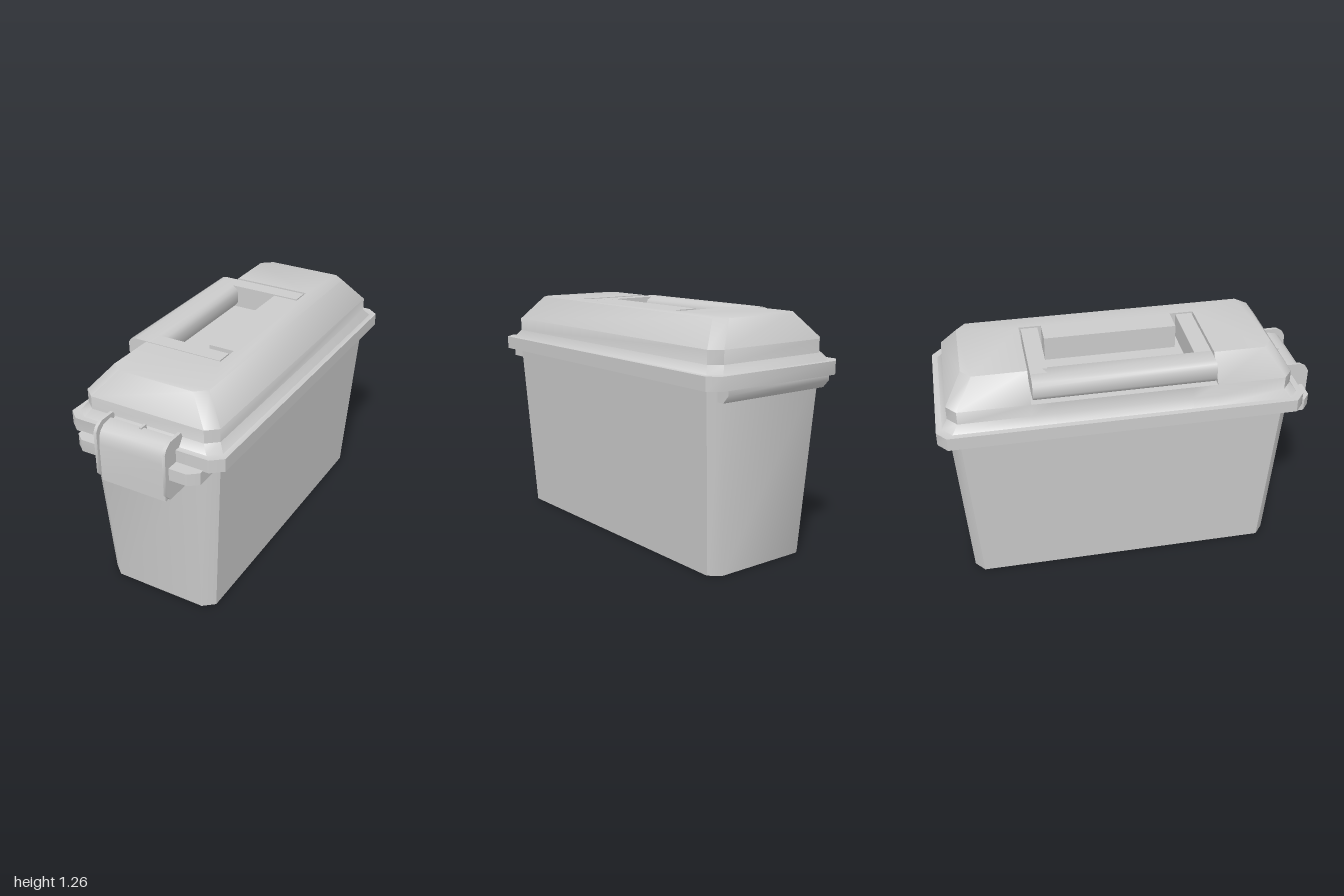
import * as THREE from 'three';
import { toCreasedNormals } from 'three/addons/utils/BufferGeometryUtils.js';

const CREASE = THREE.MathUtils.degToRad(44);
const material = new THREE.MeshStandardMaterial({ color: 0xcccccc });

function part(name, geometry, crease = CREASE) {
  const mesh = new THREE.Mesh(toCreasedNormals(geometry, crease), material);
  mesh.name = name;
  return mesh;
}

// Handle recess outline in plan, opening towards -x
const RECESS = [[-1, -0.52], [0.17, -0.52], [0.17, -0.4], [0.03, -0.4],
  [0.03, 0.31], [0.17, 0.31], [0.17, 0.44], [-1, 0.44]];

// Horizontal ring: rectangle with cut corners, optionally notched on its -x side
function ring(y, X, back, front, notch) {
  const e = 0.06, c = 0.05;
  const middle = notch === undefined ? []
    : RECESS.map(([x, z]) => [notch ? Math.max(x, -X) : -X, z]);
  return [[X, front - c], [X, back + c], [X - e, back], [-X + e, back], [-X, back + c],
    ...middle, [-X, front - c], [-X + e, front], [X - e, front]]
    .map(([x, z]) => new THREE.Vector3(x, y, z));
}

// Skin between rings listed from bottom to top, with end caps
function loft(rings, capBottom, capTop) {
  const points = [];
  const triangle = new THREE.Triangle();
  const face = (a, b, c) => {
    if (triangle.set(a, b, c).getArea() > 1e-8) points.push(a, b, c);
  };
  for (let k = 0; k < rings.length - 1; k++) {
    const a = rings[k], b = rings[k + 1], n = a.length;
    for (let i = 0; i < n; i++) {
      const j = (i + 1) % n;
      face(a[i], a[j], b[j]);
      face(a[i], b[j], b[i]);
    }
  }
  const cap = (r, up) => {
    const flat = r.map(p => new THREE.Vector2(p.x, -p.z));
    for (const [a, b, c] of THREE.ShapeUtils.triangulateShape(flat, [])) {
      if (up) face(r[a], r[b], r[c]);
      else face(r[a], r[c], r[b]);
    }
  };
  if (capBottom) cap(rings[0], false);
  if (capTop) cap(rings[rings.length - 1], true);
  return new THREE.BufferGeometry().setFromPoints(points);
}

function extrude(points, depth) {
  const shape = new THREE.Shape(points.map(p => new THREE.Vector2(...p)));
  return new THREE.ExtrudeGeometry(shape, { depth, bevelEnabled: false });
}

// Profile given as (z, y), extruded across x and centred on cx
function acrossX(points, width, cx = 0) {
  return extrude(points, width).rotateY(-Math.PI / 2).translate(cx + width / 2, 0, 0);
}

function createBody() {
  return part('body', loft([
    ring(0, 0.32, -0.89, 0.81),
    ring(0.96, 0.38, -0.94, 0.85),
  ], true, false));
}

// Lid with overhanging rim and the recess for the handle
function createLid() {
  const at = (y, o, notch = false) => ring(y, 0.38 + o, -0.94 - o, 0.85 + o, notch);
  return part('lid', loft([
    at(0.95, -0.01), at(0.95, 0.06), at(1.02, 0.06), at(1.02, 0.03),
    at(1.06, 0), at(1.13, 0), at(1.13, 0, true),
    ring(1.26, 0.27, -0.85, 0.76, true),
  ], false, true));
}

function createHandle() {
  const handle = new THREE.Group();
  handle.name = 'handle';
  const grip = [[-0.35, 1.14], [-0.23, 1.14], [-0.217, 1.16], [-0.215, 1.215], [-0.225, 1.24],
    [-0.25, 1.257], [-0.34, 1.257], [-0.37, 1.25], [-0.385, 1.23], [-0.385, 1.175], [-0.37, 1.15]];
  handle.add(part('handleGrip', extrude(grip, 0.94).translate(0, 0, -0.51)));
  for (const z of [-0.465, 0.385]) {
    const arm = new THREE.BoxGeometry(0.46, 0.125, 0.09).translate(-0.07, 1.1945, z);
    handle.add(part('handleArm', arm));
  }
  return handle;
}

function createLatch() {
  const latch = new THREE.Group();
  latch.name = 'latch';
  // Curved cover plate
  const cover = [[0.965, 0.765], [0.985, 0.765], [0.985, 0.97], [0.98, 1.01], [0.965, 1.04],
    [0.94, 1.06], [0.9, 1.067], [0.88, 1.067], [0.88, 1.045], [0.93, 1.04], [0.955, 1.01], [0.965, 0.97]];
  latch.add(part('latchCover', acrossX(cover, 0.37)));
  // Side cheeks hooked over the rim
  const cheek = [[0.83, 0.775], [0.97, 0.775], [1, 0.81], [1, 1.04], [0.985, 1.065],
    [0.95, 1.087], [0.86, 1.087], [0.85, 1.07], [0.85, 1]];
  for (const side of [-1, 1]) {
    latch.add(part('latchCheek', acrossX(cheek, 0.017, side * 0.1935)));
  }
  const rib = [[0.85, 1.01], [0.9, 1.01], [0.9, 1.075], [0.86, 1.075]];
  latch.add(part('latchRib', acrossX(rib, 0.014)));
  return latch;
}

export function createModel() {
  const model = new THREE.Group();
  model.name = 'storageBox';
  model.add(createBody(), createLid(), createHandle(), createLatch());

  // Ledge under the rim that carries the latch
  const ledge = [[-0.35, 0.82], [0.35, 0.82], [0.35, 0.935], [0.3, 0.975], [-0.3, 0.975], [-0.35, 0.935]];
  model.add(part('latchLedge', extrude(ledge, 0.065).rotateX(Math.PI / 2).translate(0, 0.955, 0)));

  // Hinge bar under the back rim
  const hinge = [[-0.92, 0.955], [-0.995, 0.955], [-0.995, 0.925], [-0.96, 0.885], [-0.92, 0.885]];
  model.add(part('hingeBar', acrossX(hinge, 0.68)));
  return model;
}
